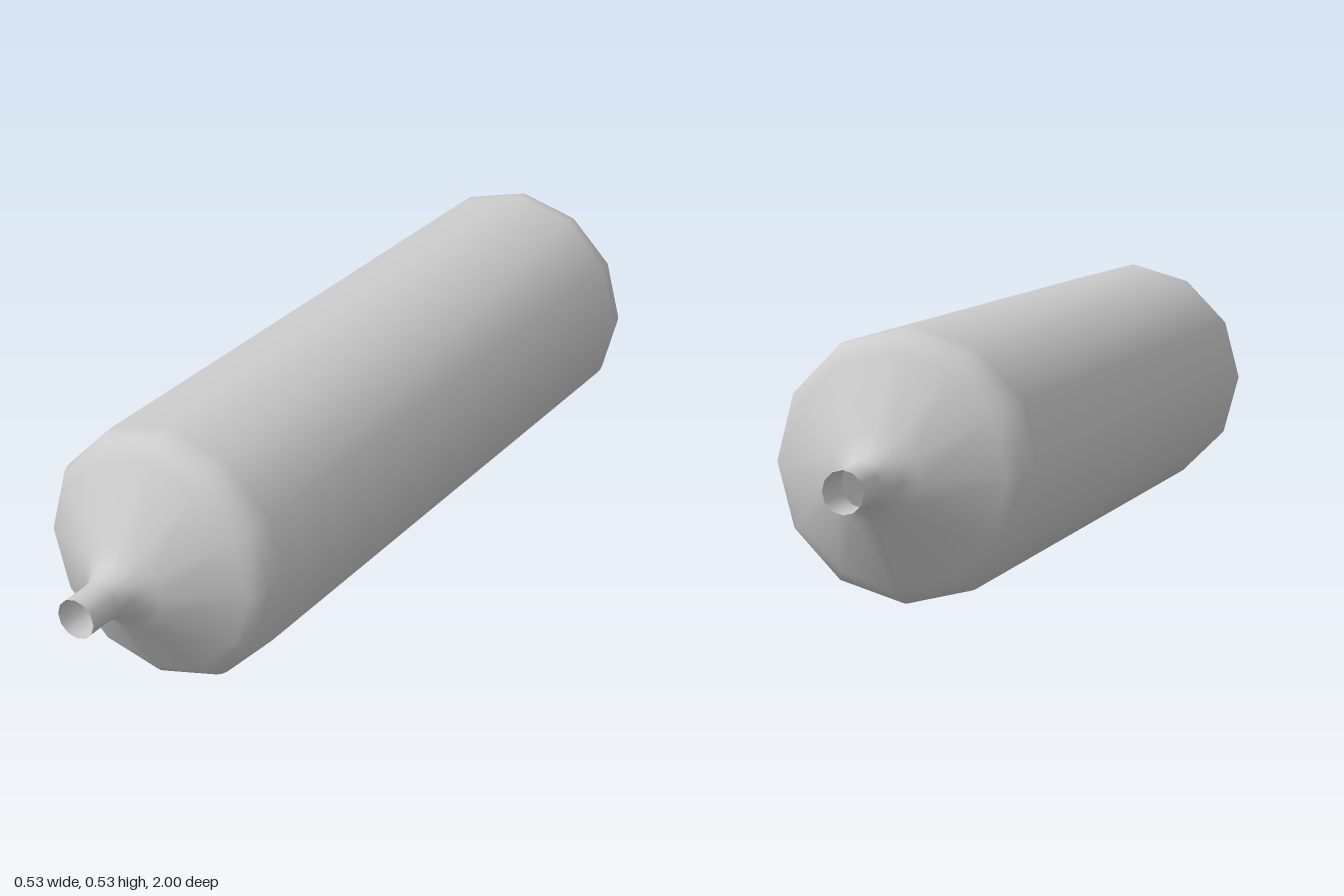
import * as THREE from 'three';

const BODY_R = 0.266, PIPE_R = 0.041, SIDES = 12;

// Quadratic bend between two profile lines
function bend(a, control, b, steps) {
  return new THREE.QuadraticBezierCurve(
    new THREE.Vector2(...a), new THREE.Vector2(...control), new THREE.Vector2(...b)
  ).getPoints(steps);
}

export function createModel() {
  const group = new THREE.Group();
  group.name = 'canister';
  const material = new THREE.MeshStandardMaterial({ color: 0xcccccc, side: THREE.DoubleSide });

  // Half profile (radius, distance along axis): body, shoulder, cone, neck, open pipe
  const half = [
    ...bend([BODY_R, 0.695], [BODY_R, 0.745], [0.225, 0.77], 6),
    ...bend([0.09, 0.858], [PIPE_R + 0.002, 0.888], [PIPE_R, 0.93], 6),
    new THREE.Vector2(PIPE_R, 1),
  ];
  const mirrored = half.map(p => new THREE.Vector2(p.x, -p.y)).reverse();

  // Twelve-sided smooth shell, open at both pipe ends, laid along z
  const shell = new THREE.LatheGeometry([...mirrored, ...half], SIDES);
  shell.rotateX(Math.PI / 2);
  const body = new THREE.Mesh(shell, material);
  body.name = 'shellWithPipeEnds';
  body.position.y = BODY_R;
  group.add(body);

  return group;
}
